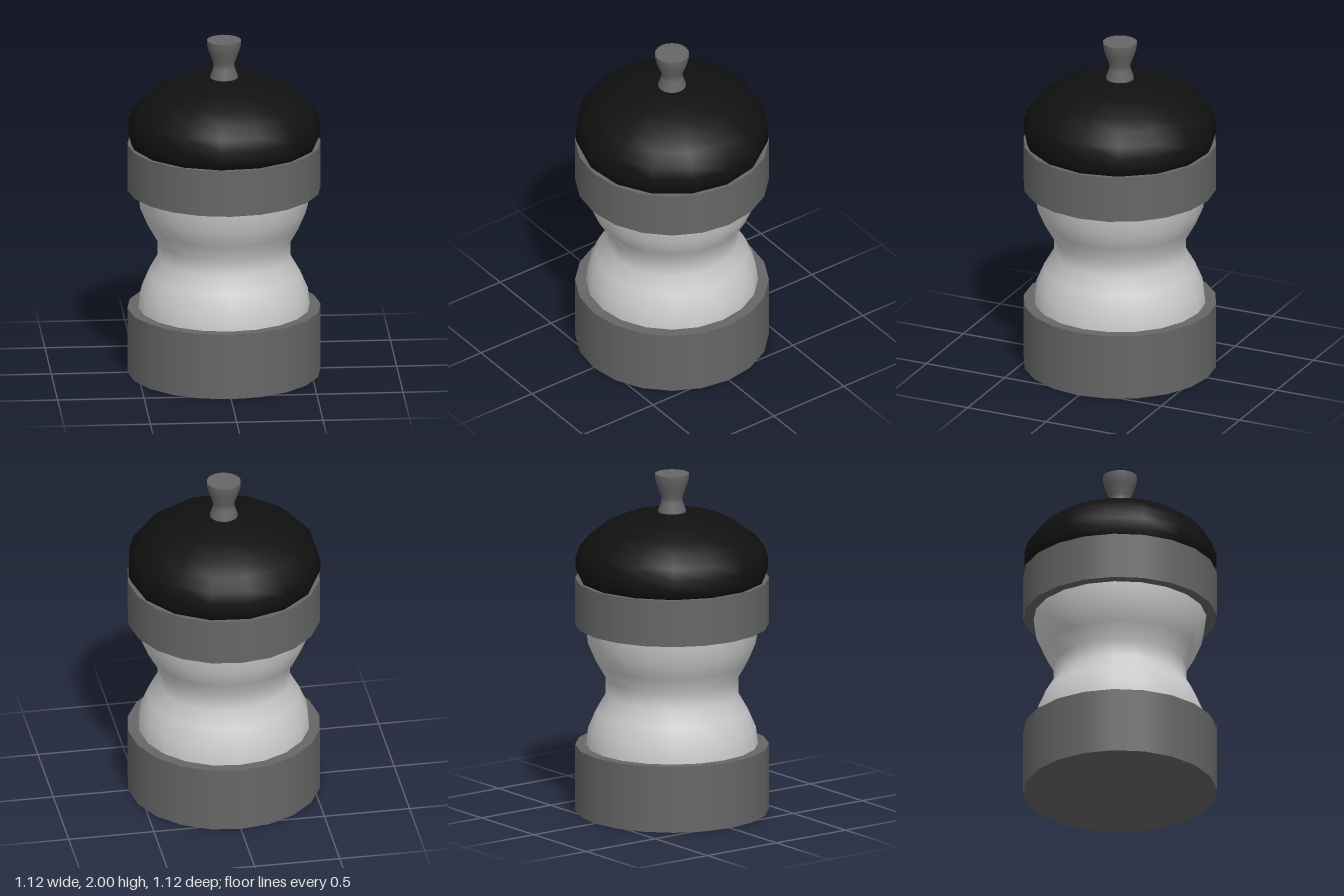
import * as THREE from 'three';

const mat = (color) => new THREE.MeshStandardMaterial({ color });

export function createModel() {
  const group = new THREE.Group();
  const pale = mat(0xcccccc), grey = mat(0x666666), black = mat(0x111111);

  function add(name, geometry, material, y = 0) {
    const mesh = new THREE.Mesh(geometry, material);
    mesh.name = name;
    mesh.position.y = y;
    group.add(mesh);
    return mesh;
  }
  // profile given as [radius, height], bottom to top
  const turned = (profile, sides) =>
    new THREE.LatheGeometry(profile.map(([r, y]) => new THREE.Vector2(r, y)), sides);
  const band = (y0, y1) => new THREE.CylinderGeometry(0.56, 0.56, y1 - y0, 20);

  // wide bands around the foot and the shoulder
  add('baseBand', band(0, 0.39), grey, 0.195);
  add('upperBand', band(1.105, 1.38), grey, 1.2425);

  // waisted body between the bands
  add('body', turned([
    [0.5, 0.34], [0.497, 0.39], [0.485, 0.49], [0.44, 0.595], [0.385, 0.69],
    [0.385, 0.79], [0.44, 0.885], [0.485, 0.99], [0.5, 1.105], [0.5, 1.15],
  ], 20), pale);

  // domed lid, fifteen sided with a corner on +x
  const dome = add('dome', turned([
    [0, 1.37], [0.535, 1.37], [0.558, 1.42], [0.558, 1.49], [0.535, 1.56], [0.48, 1.625],
    [0.4, 1.685], [0.28, 1.74], [0.14, 1.77], [0, 1.78],
  ], 15), black);
  dome.rotation.y = Math.PI / 2;

  // flared knob with a flat top
  add('knob', turned([
    [0.082, 1.75], [0.08, 1.785], [0.062, 1.835], [0.062, 1.865],
    [0.085, 1.925], [0.097, 1.965], [0.099, 2],
  ], 20), grey);
  const cap = add('knobTop', new THREE.CircleGeometry(0.099, 20), grey, 2);
  cap.rotation.x = -Math.PI / 2;

  return group;
}
